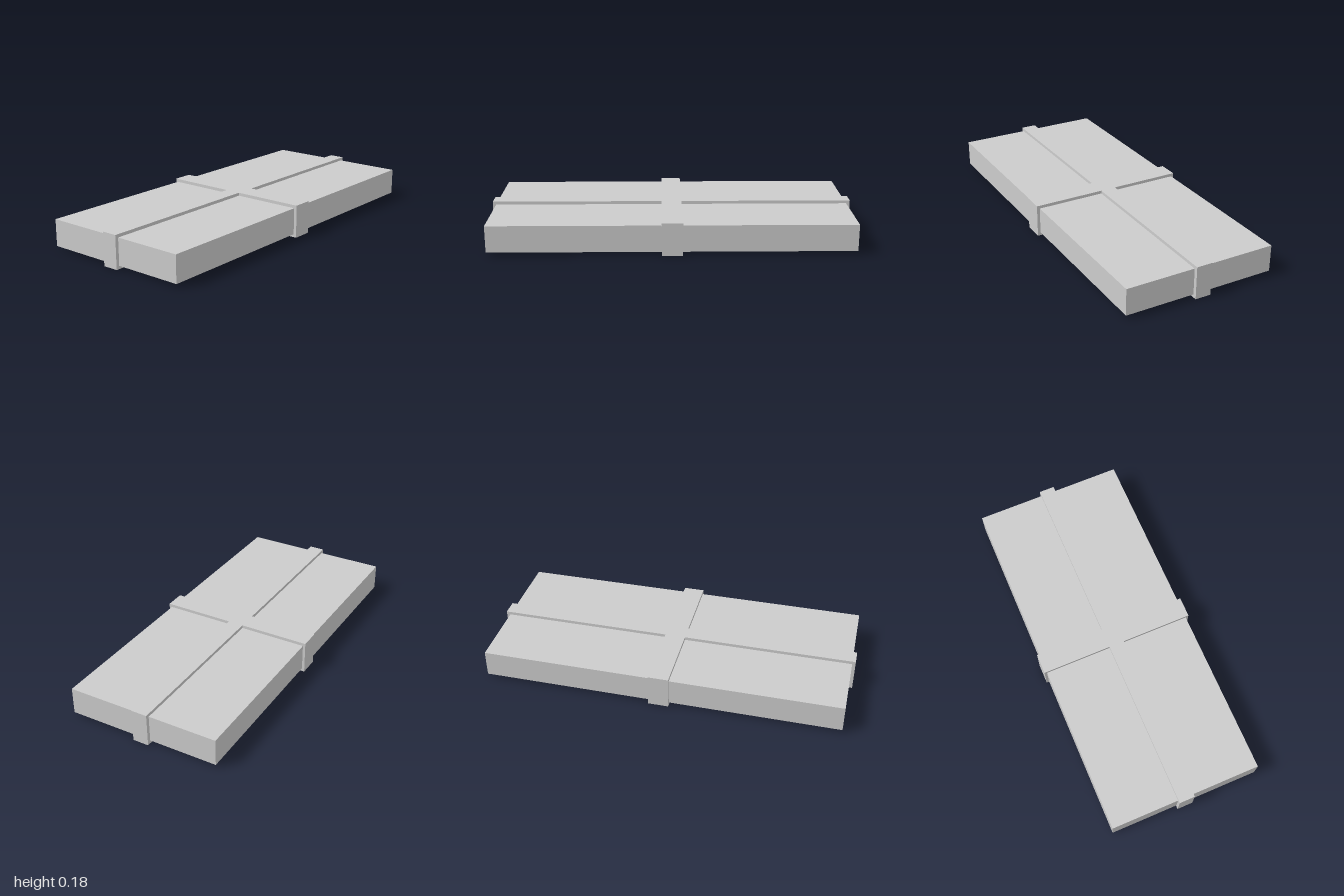
import * as THREE from 'three';

export function createModel() {
  const group = new THREE.Group();
  const material = new THREE.MeshStandardMaterial({ color: 0xcccccc, flatShading: true });

  // Flat parcel body
  const box = new THREE.Mesh(new THREE.BoxGeometry(1.962, 0.146, 0.84), material);
  box.name = 'parcelBox';
  box.position.set(-0.001, 0.09, -0.001);
  group.add(box);

  // Crossed ribbon bands wrapping the box, as one cross-shaped slab
  const endX = 1, endZ = 0.435;
  const left = -0.057, right = 0.055; // short band edges in x
  const front = -0.04, back = 0.047; // long band edges, shape y = -z
  const cross = new THREE.Shape([
    [left, -endZ], [right, -endZ], [right, front], [endX, front],
    [endX, back], [right, back], [right, endZ], [left, endZ],
    [left, back], [-endX, back], [-endX, front], [left, front],
  ].map(([x, y]) => new THREE.Vector2(x, y)));
  const bands = new THREE.ExtrudeGeometry(cross, { depth: 0.18, bevelEnabled: false });
  bands.rotateX(-Math.PI / 2);
  const ribbon = new THREE.Mesh(bands, material);
  ribbon.name = 'crossedRibbon';
  group.add(ribbon);

  return group;
}
